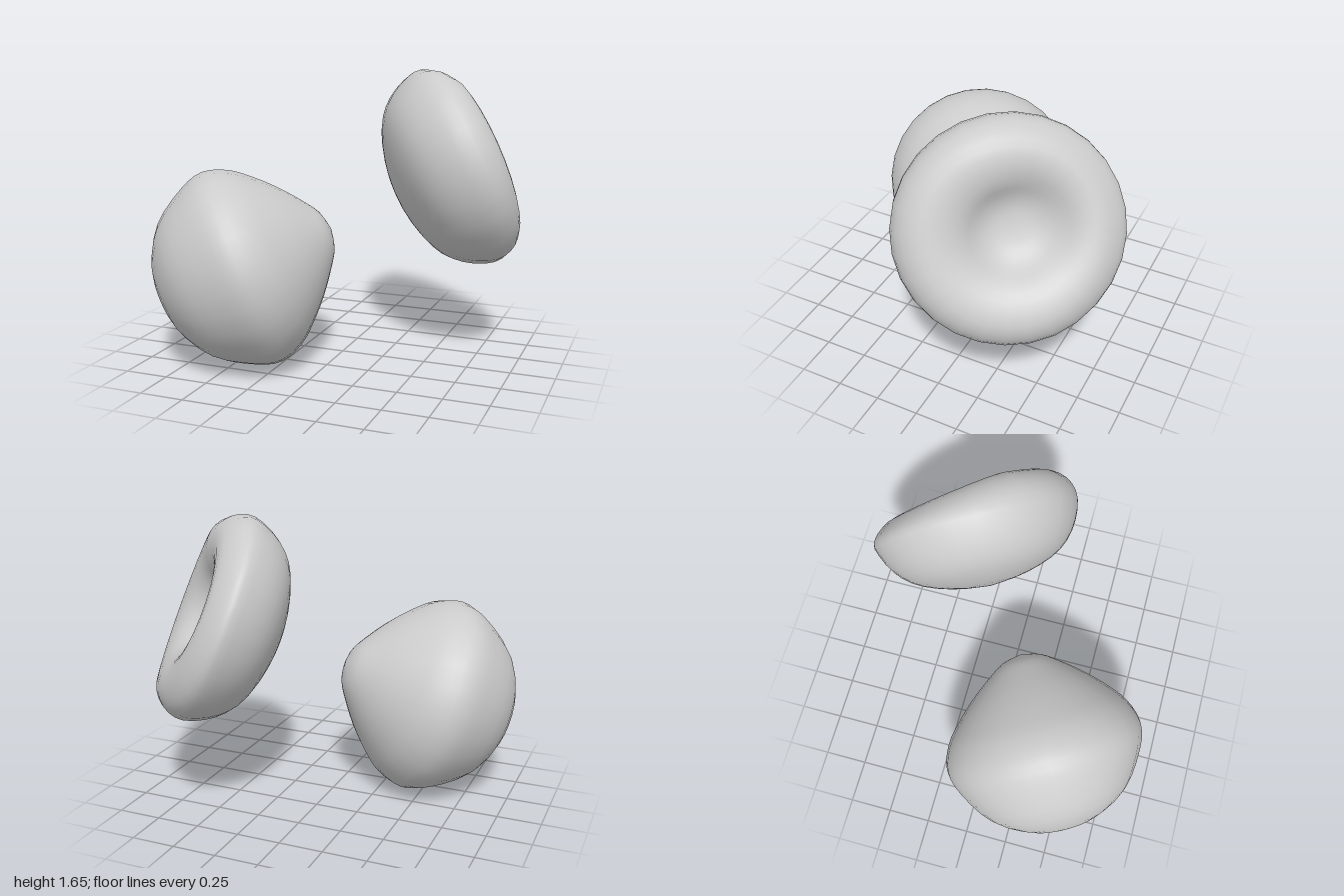
import * as THREE from 'three';
import { mergeVertices } from 'three/addons/utils/BufferGeometryUtils.js';

// Smooth closed body turned from a half profile of [radius, height] points
function turnedBody(name, profile, axis, position, scale) {
  const curve = new THREE.SplineCurve(profile.map(([r, h]) => new THREE.Vector2(r, h)));
  const points = curve.getPoints(30);
  points.forEach((p) => { p.x = Math.max(p.x, 0); });
  points[0].x = 0;
  points[points.length - 1].x = 0;
  const mesh = new THREE.Mesh(
    new THREE.LatheGeometry(points, 28),
    new THREE.MeshStandardMaterial({ color: 0xcccccc })
  );
  mesh.name = name;
  mesh.quaternion.setFromUnitVectors(
    new THREE.Vector3(0, 1, 0), new THREE.Vector3(...axis).normalize());
  mesh.position.set(...position);
  mesh.scale.setScalar(scale);
  return mesh;
}

// Lowers the rim on one side and moves the dimple towards that side
function sagRim(mesh, direction, drop, shift) {
  const d = new THREE.Vector3(...direction).applyQuaternion(mesh.quaternion.clone().invert());
  d.setY(0).normalize();
  const pos = mesh.geometry.attributes.position;
  const v = new THREE.Vector3();
  for (let i = 0; i < pos.count; i++) {
    v.fromBufferAttribute(pos, i);
    const r = Math.hypot(v.x, v.z);
    const side = Math.max(0, v.dot(d) / Math.max(r, 1e-6)) * Math.min(1, r / 0.25);
    const upper = THREE.MathUtils.smoothstep(v.y, -0.02, 0.22);
    const inner = v.y > -0.02 ? Math.max(0, 1 - r / 0.5) : 0;
    v.y -= drop * side * upper;
    v.addScaledVector(d, shift * inner);
    pos.setXYZ(i, v.x, v.y, v.z);
  }
  mesh.geometry.deleteAttribute('normal');
  mesh.geometry.deleteAttribute('uv');
  mesh.geometry = mergeVertices(mesh.geometry, 1e-4);
  mesh.geometry.computeVertexNormals();
}

export function createModel() {
  const group = new THREE.Group();
  group.name = 'cellPair';

  // Round back with a blunt, full cone on the side facing the dimpled body
  group.add(turnedBody('conedBody', [
    [0, -0.51], [0.2, -0.475], [0.4, -0.355], [0.53, -0.16], [0.57, -0.02],
    [0.525, 0.115], [0.44, 0.222], [0.33, 0.33], [0.21, 0.425], [0.11, 0.49], [0, 0.515],
  ], [0.8, 0.37, -0.47], [-0.46, 0.563, 0.331], 1.02));

  // Domed back with a rounded rim and a dimple in the other face
  const disc = turnedBody('dimpledDisc', [
    [0, -0.305], [0.2, -0.28], [0.4, -0.21], [0.52, -0.1], [0.585, 0.05],
    [0.56, 0.165], [0.47, 0.24], [0.36, 0.245], [0.26, 0.2], [0.18, 0.12],
    [0.1, 0.075], [0, 0.065],
  ], [0.81, 0.38, -0.455], [0.51, 1.06, -0.318], 1.025);
  sagRim(disc, [-0.6, 0.3, -0.8], 0.075, 0.04);
  group.add(disc);

  return group;
}
